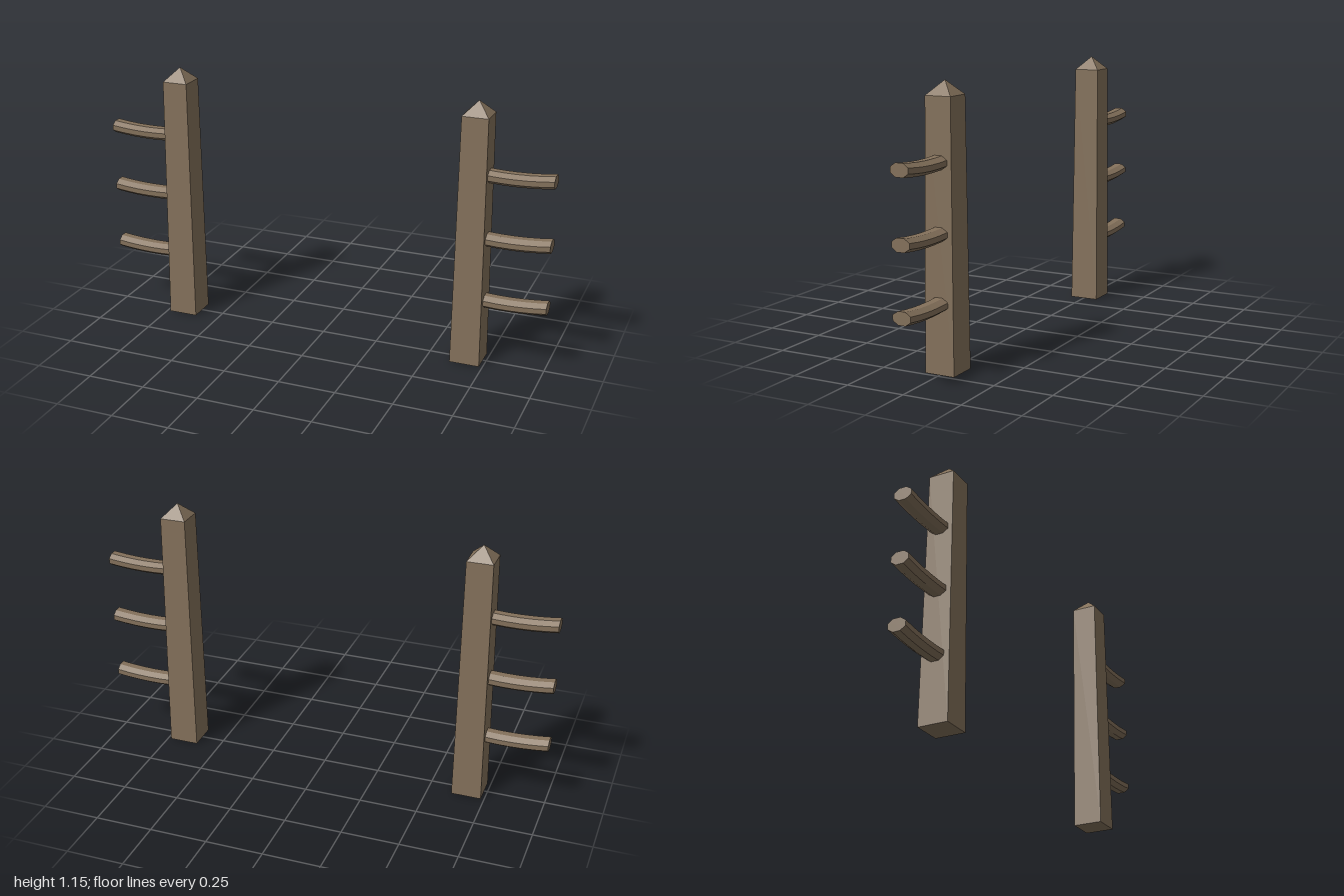
import * as THREE from 'three';

const wood = new THREE.MeshStandardMaterial({ color: 0x84715b, flatShading: true });
wood.name = 'weathered wood';

// Square tapered post with a pyramid point
function postGeometry() {
  const profile = [[0, 0], [0.065, 0], [0.056, 1.092], [0, 1.15]]
    .map(([half, y]) => new THREE.Vector2(half * Math.SQRT2, y));
  return new THREE.LatheGeometry(profile, 4).rotateY(Math.PI / 4);
}

// Flattened eight-sided rail running along x, sagging between its ends
function railGeometry(x0, x1) {
  const r = 1 / Math.cos(Math.PI / 8);
  const geo = new THREE.CylinderGeometry(r, r, x1 - x0, 8, 6, false, Math.PI / 8)
    .rotateZ(-Math.PI / 2)
    .scale(1, 0.027, 0.039)
    .translate((x0 + x1) / 2, 0, 0);
  const p = geo.attributes.position;
  for (let i = 0; i < p.count; i++) {
    const t = (p.getX(i) - 0.82) / 0.18;
    p.setY(i, p.getY(i) - 0.012 * (1 - t * t));
  }
  geo.computeVertexNormals();
  return geo;
}

export function createModel() {
  const model = new THREE.Group();
  model.name = 'fenceGateway';
  const postGeo = postGeometry();
  const railGeo = railGeometry(0.68, 1);

  // Two identical halves, one turned half way round
  for (const side of ['left', 'right']) {
    const half = new THREE.Group();
    half.name = side + 'FenceEnd';

    const post = new THREE.Mesh(postGeo, wood);
    post.name = side + 'Post';
    post.position.x = 0.67;
    half.add(post);

    [0.293, 0.57, 0.848].forEach((y, i) => {
      const rail = new THREE.Mesh(railGeo, wood);
      rail.name = side + ['Lower', 'Middle', 'Upper'][i] + 'Rail';
      rail.position.y = y;
      half.add(rail);
    });

    if (side === 'right') half.rotation.y = Math.PI;
    model.add(half);
  }
  return model;
}
